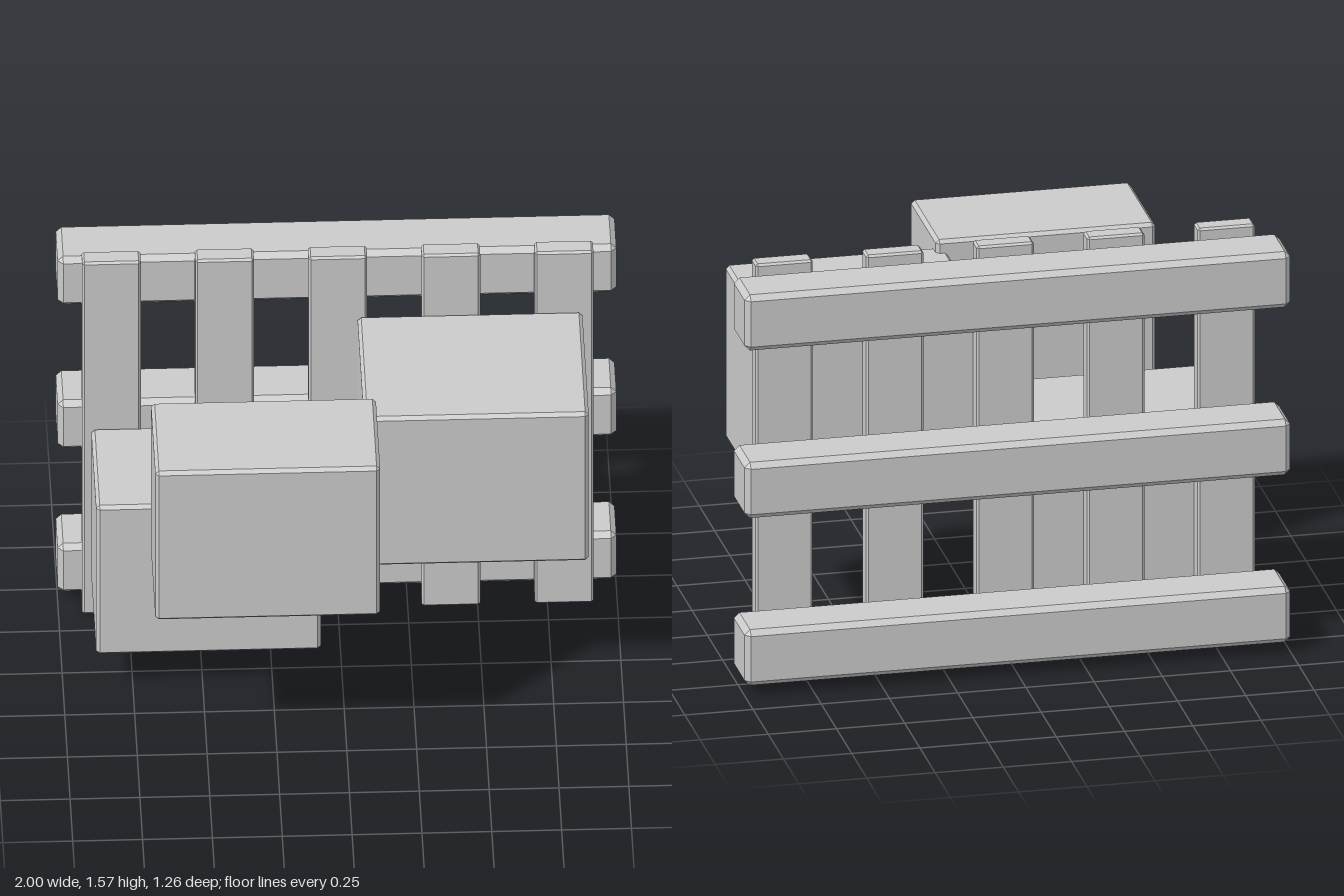
import * as THREE from 'three';
import { ConvexGeometry } from 'three/addons/geometries/ConvexGeometry.js';

const material = new THREE.MeshStandardMaterial({ color: 0xcccccc, flatShading: true });

// Box with bevelled edges and corners, given by its min and max corners
function bevelBox(name, min, max, bevel) {
  const half = max.map((v, i) => (v - min[i]) / 2);
  const points = [];
  for (const sx of [-1, 1]) for (const sy of [-1, 1]) for (const sz of [-1, 1]) {
    for (let axis = 0; axis < 3; axis++) {
      // each corner becomes three points, one on each adjoining face
      const p = half.map((h, i) => (i === axis ? h : h - bevel));
      points.push(new THREE.Vector3(sx * p[0], sy * p[1], sz * p[2]));
    }
  }
  const mesh = new THREE.Mesh(new ConvexGeometry(points), material);
  mesh.position.set(...min.map((v, i) => (v + max[i]) / 2));
  mesh.name = name;
  return mesh;
}

export function createModel() {
  const model = new THREE.Group();
  model.name = 'palletWithCrates';

  // Pallet standing upright: three horizontal rails behind five slats
  const pallet = new THREE.Group();
  pallet.name = 'pallet';
  for (const y of [0.145, 0.787, 1.43]) {
    pallet.add(bevelBox('rail', [-1, y - 0.107, -0.63], [1, y + 0.107, -0.417], 0.02));
  }
  for (let i = -2; i <= 2; i++) {
    const x = i * 0.405;
    pallet.add(bevelBox('slat', [x - 0.105, 0, -0.417], [x + 0.105, 1.573, -0.344], 0.008));
  }
  model.add(pallet);

  // Crates in front of the slats
  const crates = new THREE.Group();
  crates.name = 'crates';
  crates.add(
    bevelBox('lowerCrate', [-0.883, 0.172, -0.344], [-0.078, 0.836, 0.13], 0.013),
    bevelBox('upperCrate', [0.07, 0.647, -0.344], [0.875, 1.311, 0.27], 0.013),
    bevelBox('frontCrate', [-0.69, 0.696, 0.205], [0.115, 1.36, 0.63], 0.013),
  );
  model.add(crates);

  return model;
}
